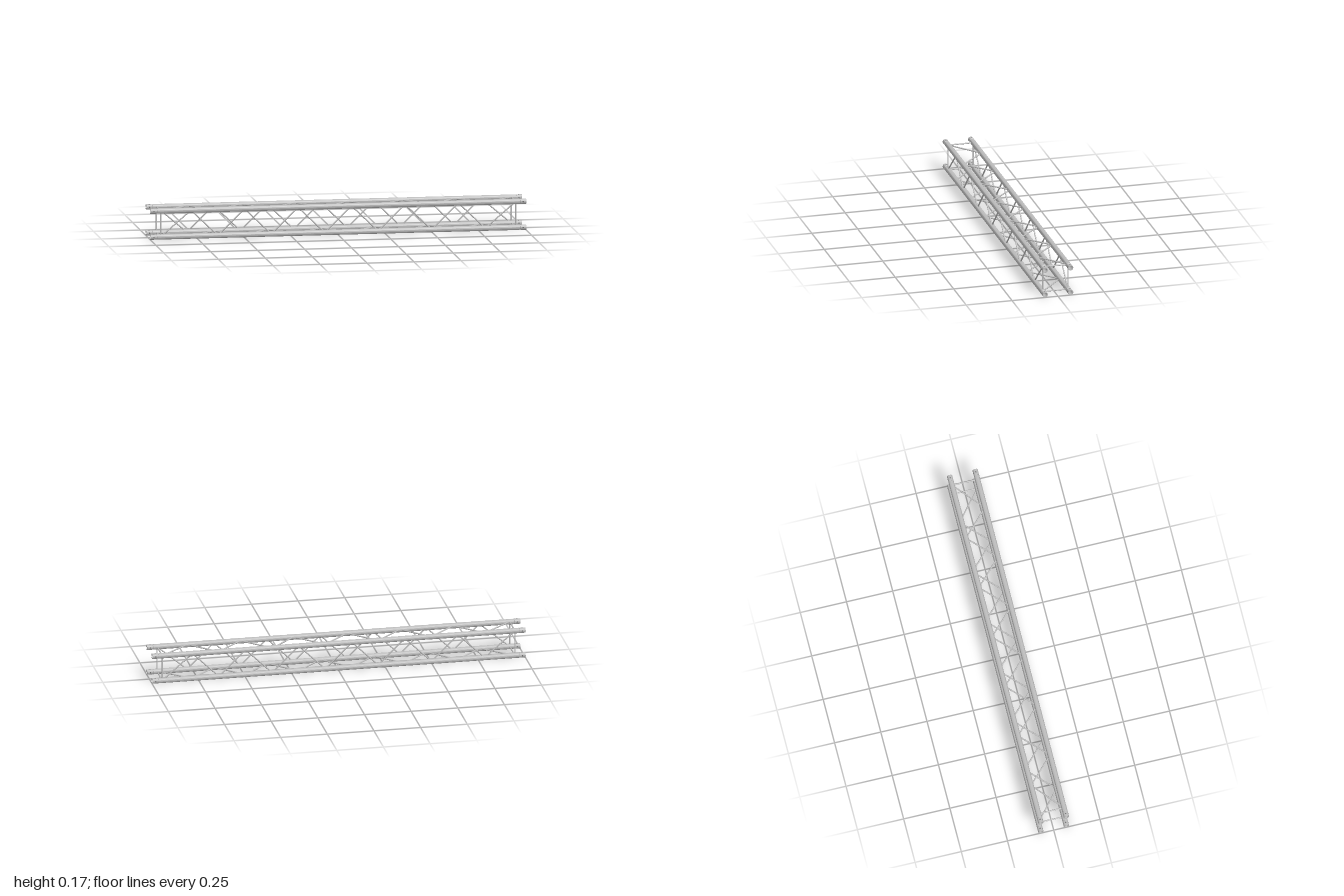
import * as THREE from 'three';
import { toCreasedNormals } from 'three/addons/utils/BufferGeometryUtils.js';

const HALF = 0.069;       // half distance between chord axes
const R = 0.0143;         // chord radius
const BORE = 0.0102;      // chord inner radius
const BRACE = 0.0037;     // brace radius
const MID = R + HALF;     // height of the truss axis
const END_X = 0.945;      // position of the square end frames
const NODE_X = 0.783;     // outermost regular brace node
const UP = new THREE.Vector3(0, 1, 0);

// Chord axes in order around the truss: front bottom, front top, back top, back bottom
const CORNERS = [[MID - HALF, HALF], [MID + HALF, HALF], [MID + HALF, -HALF], [MID - HALF, -HALF]];

export function createModel() {
  const aluminium = new THREE.MeshStandardMaterial({ color: 0xbcbcbc });
  aluminium.name = 'aluminium';
  const darkSteel = new THREE.MeshStandardMaterial({ color: 0x707070 });
  darkSteel.name = 'darkSteel';

  const truss = new THREE.Group();
  truss.name = 'boxTruss';

  // Straight round bar between two points
  function bar(name, a, b, radius, material, parent) {
    const dir = b.clone().sub(a);
    const geometry = new THREE.CylinderGeometry(radius, radius, dir.length(), 12);
    const mesh = new THREE.Mesh(geometry, material);
    mesh.name = name;
    mesh.position.copy(a).add(b).multiplyScalar(0.5);
    mesh.quaternion.setFromUnitVectors(UP, dir.normalize());
    parent.add(mesh);
  }

  const at = (x, corner) => new THREE.Vector3(x, ...CORNERS[corner % 4]);

  // Hollow chord with a shallow groove marking the coupler at each end
  const profile = [
    [R, -1], [R, -0.97], [R - 0.0012, -0.969], [R - 0.0012, -0.966], [R, -0.965],
    [R, 0.965], [R - 0.0012, 0.966], [R - 0.0012, 0.969], [R, 0.97], [R, 1],
    [BORE, 1], [BORE, -1], [R, -1],
  ].map(([r, y]) => new THREE.Vector2(r, y));
  const chordGeometry = toCreasedNormals(new THREE.LatheGeometry(profile, 28), 0.5);
  chordGeometry.rotateZ(-Math.PI / 2);

  // Brace nodes: eleven even bays with a longer bay at each end
  const nodes = [-END_X];
  for (let i = 0; i <= 11; i++) nodes.push(-NODE_X + (i * 2 * NODE_X) / 11);
  nodes.push(END_X);

  for (let c = 0; c < 4; c++) {
    const chord = new THREE.Mesh(chordGeometry, aluminium);
    chord.name = 'chord';
    chord.position.copy(at(0, c));
    truss.add(chord);

    const side = new THREE.Group();
    side.name = 'bracedSide';
    truss.add(side);

    // Zigzag; opposite sides run in opposite phase
    for (let i = 0; i < nodes.length - 1; i++) {
      bar('diagonalBrace', at(nodes[i], c + (i % 2)), at(nodes[i + 1], c + ((i + 1) % 2)), BRACE, aluminium, side);
    }

    for (const s of [-1, 1]) {
      // Square end frame
      bar('endBrace', at(s * END_X, c), at(s * END_X, c + 1), BRACE, aluminium, side);

      // Coupler pin holes, flush with the chord wall
      for (const axis of [new THREE.Vector3(0, 1, 0), new THREE.Vector3(0, 0, 1)]) {
        for (const d of [-1, 1]) {
          const p = at(s * 0.983, c);
          bar('pinHole', p.clone().addScaledVector(axis, d * (R - 0.003)),
            p.clone().addScaledVector(axis, d * R), 0.0035, darkSteel, side);
        }
      }
    }
  }
  return truss;
}
